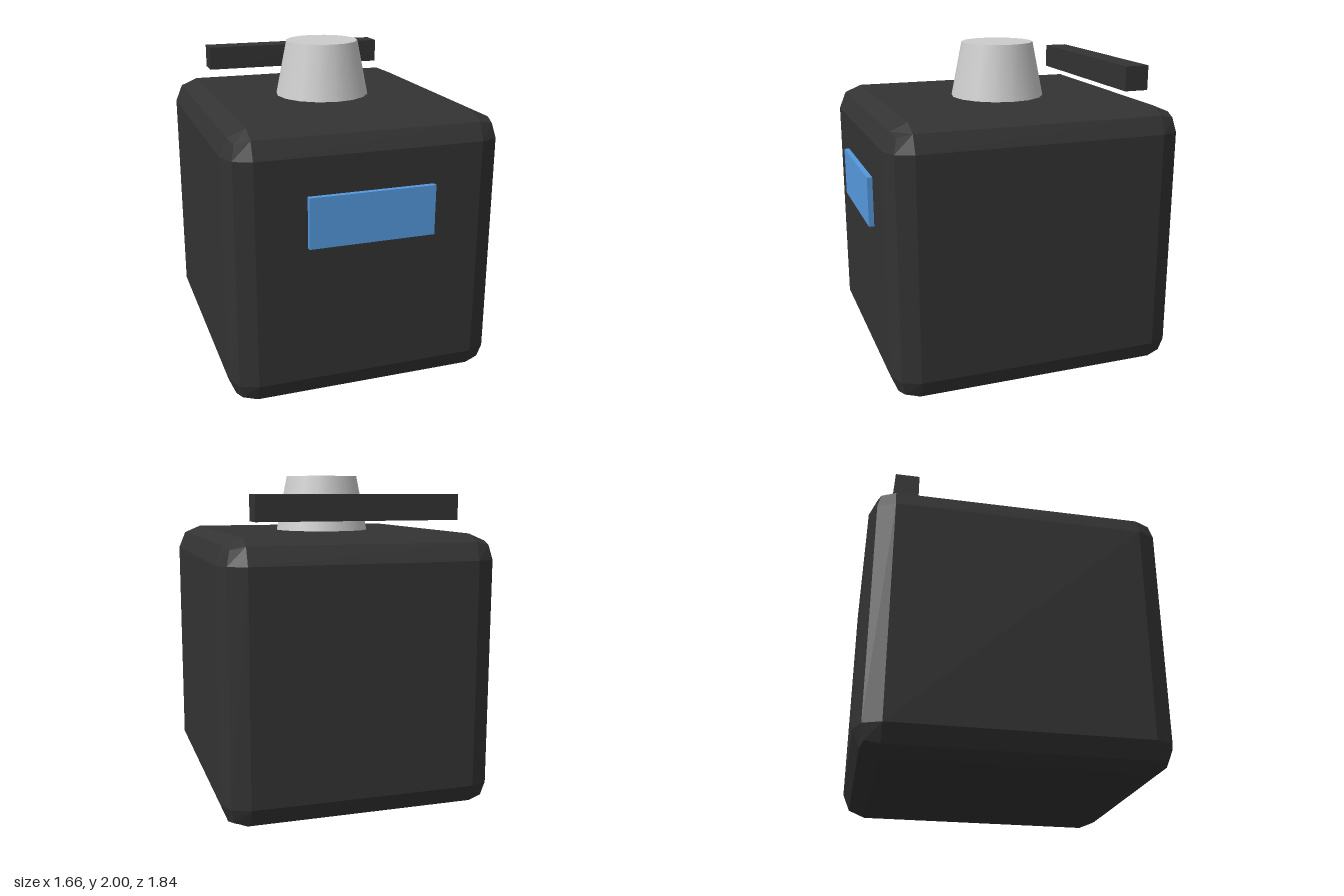
import * as THREE from 'three';
import { RoundedBoxGeometry } from 'three/addons/geometries/RoundedBoxGeometry.js';

export function createModel() {
  const model = new THREE.Group();
  model.name = 'device';

  const material = (name, color, flatShading = false) => {
    const m = new THREE.MeshStandardMaterial({ color, flatShading });
    m.name = name;
    return m;
  };
  const charcoal = material('charcoal', 0x333333, true);
  const blue = material('blue', 0x5599dd, true);
  const lightGrey = material('lightGrey', 0xcccccc);

  const add = (name, geometry, mat, x, y, z) => {
    const mesh = new THREE.Mesh(geometry, mat);
    mesh.name = name;
    mesh.position.set(x, y, z);
    model.add(mesh);
  };

  // Body with faceted two-step bevels
  add('body', new RoundedBoxGeometry(1.66, 1.66, 1.81, 1, 0.15), charcoal, 0, 0.83, -0.015);

  // Tapered knob on top
  add('knob', new THREE.CylinderGeometry(0.226, 0.294, 0.34, 16), lightGrey, 0, 1.83, -0.018);

  // Bar held above the rear edge
  add('rearBar', new THREE.BoxGeometry(1.21, 0.15, 0.15), charcoal, 0, 1.815, -0.695);

  // Raised display on the front
  add('display', new THREE.BoxGeometry(0.76, 0.302, 0.06), blue, 0, 1.136, 0.892);

  return model;
}
